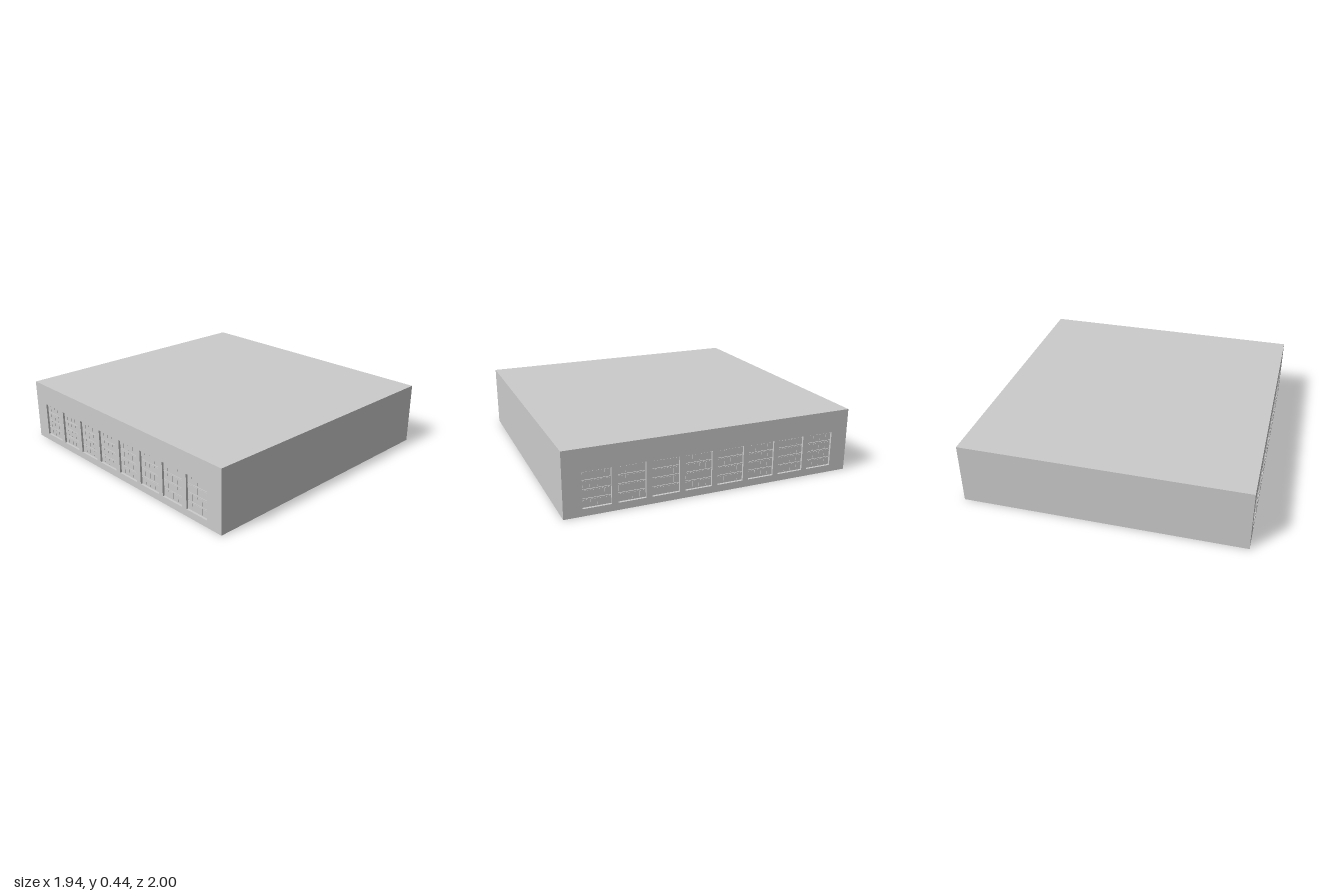
import * as THREE from 'three';

const W = 1.94, H = 0.435, D = 2;        // overall size
const RECESS = 0.02;                     // depth of the door openings
const DOOR_W = 0.185, SILL = 0.048, DOOR_H = 0.24;
const PITCH = 0.2245, COUNT = 8;

const material = new THREE.MeshStandardMaterial({ color: 0xcccccc, flatShading: true });

function box(name, w, h, d, x, y, z) {
  const mesh = new THREE.Mesh(new THREE.BoxGeometry(w, h, d), material);
  mesh.name = name;
  mesh.position.set(x, y, z);
  return mesh;
}

const doorCentres = Array.from({ length: COUNT }, (_, i) => (i - (COUNT - 1) / 2) * PITCH);

// Outer wall skin with a row of rectangular openings
function wallGeometry() {
  const shape = new THREE.Shape();
  shape.moveTo(-D / 2, 0).lineTo(D / 2, 0).lineTo(D / 2, H).lineTo(-D / 2, H).closePath();
  for (const c of doorCentres) {
    const a = c - DOOR_W / 2, b = c + DOOR_W / 2, top = SILL + DOOR_H;
    const hole = new THREE.Path();
    hole.moveTo(a, SILL).lineTo(a, top).lineTo(b, top).lineTo(b, SILL).closePath();
    shape.holes.push(hole);
  }
  return new THREE.ExtrudeGeometry(shape, { depth: RECESS, bevelEnabled: false });
}

// Sectional door: four stacked leaves, each with a row of raised panels
function sectionalDoor(z) {
  const door = new THREE.Group();
  door.name = 'dockDoor';
  const rows = 4, cols = 4, gap = 0.003;
  const rowH = DOOR_H / rows, colW = DOOR_W / cols;
  for (let r = 0; r < rows; r++) {
    const y = SILL + (r + 0.5) * rowH;
    door.add(box('doorSection', DOOR_W, rowH - gap, 0.006, z, y, 0.003));
    for (let c = 0; c < cols; c++) {
      const px = z - DOOR_W / 2 + (c + 0.5) * colW;
      door.add(box('doorPanel', colW - 0.012, rowH - 0.018, 0.002, px, y, 0.007));
    }
  }
  return door;
}

// One long side, built facing +z and turned into place
function dockSide(name, sign) {
  const side = new THREE.Group();
  side.name = name;
  const wall = new THREE.Mesh(wallGeometry(), material);
  wall.name = 'dockWall';
  side.add(wall);
  for (const c of doorCentres) side.add(sectionalDoor(c));
  side.rotation.y = sign * Math.PI / 2;
  side.position.x = sign * (W / 2 - RECESS);
  return side;
}

export function createModel() {
  const model = new THREE.Group();
  model.name = 'warehouse';
  model.add(box('buildingCore', W - 2 * RECESS, H, D, 0, H / 2, 0));
  model.add(dockSide('leftDockSide', 1), dockSide('rightDockSide', -1));
  return model;
}
